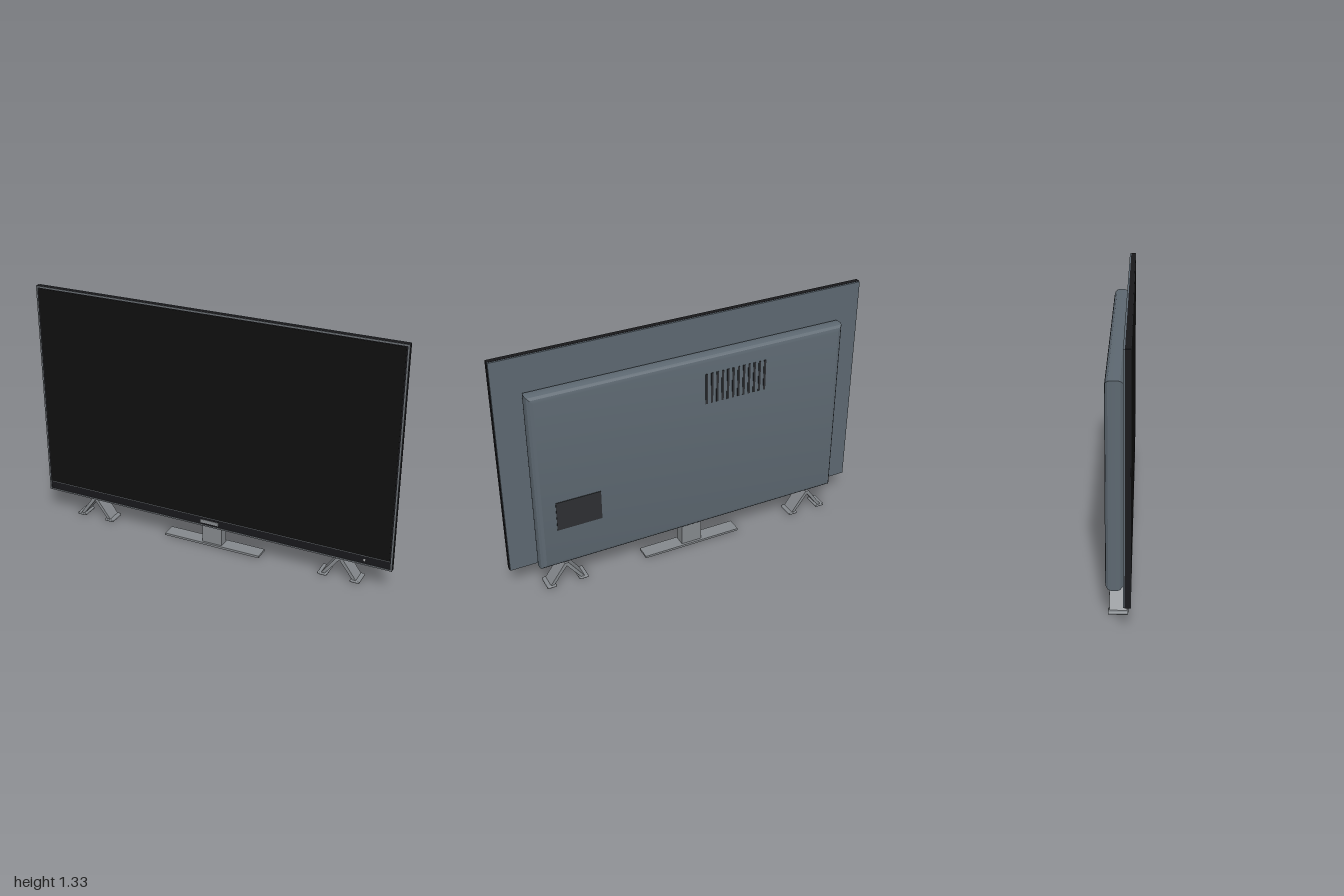
import * as THREE from 'three';
import { RoundedBoxGeometry } from 'three/addons/geometries/RoundedBoxGeometry.js';
import { toCreasedNormals } from 'three/addons/utils/BufferGeometryUtils.js';

const paint = (color) => new THREE.MeshStandardMaterial({ color });
const black = paint(0x0f0f0f);
const bezelBlack = paint(0x18181b);
const shell = paint(0x5d6871);
const metal = paint(0x85898d);
const dark = paint(0x2d2f32);
const trim = paint(0x6a6f74);

export function createModel() {
  const model = new THREE.Group();

  const add = (name, geometry, material, parent = model) => {
    const mesh = new THREE.Mesh(geometry, material);
    mesh.name = name;
    parent.add(mesh);
    return mesh;
  };
  // Box given by its limits on each axis
  const box = (name, material, [x0, x1], [y0, y1], [z0, z1], parent) => {
    const mesh = add(name, new THREE.BoxGeometry(x1 - x0, y1 - y0, z1 - z0), material, parent);
    mesh.position.set((x0 + x1) / 2, (y0 + y1) / 2, (z0 + z1) / 2);
    return mesh;
  };
  const rectangle = (Type, x, y0, y1) => new Type([
    new THREE.Vector2(-x, y0), new THREE.Vector2(x, y0),
    new THREE.Vector2(x, y1), new THREE.Vector2(-x, y1),
  ]);

  // Flat panel: black body, back sheet, thin front trim and display
  box('panelBody', bezelBlack, [-1, 1], [0.13, 1.325], [0.035, 0.06]);
  box('backSheet', shell, [-0.998, 0.998], [0.131, 1.324], [0.027, 0.035]);
  const frame = rectangle(THREE.Shape, 1, 0.13, 1.325);
  frame.holes.push(rectangle(THREE.Path, 0.992, 0.138, 1.317));
  add('frontTrim', new THREE.ExtrudeGeometry(frame, { depth: 0.002, bevelEnabled: false }), trim)
    .position.z = 0.06;
  box('display', black, [-0.985, 0.985], [0.185, 1.312], [0.058, 0.0615]);

  // Chin details
  box('chinLine', trim, [-0.985, 0.985], [0.181, 0.184], [0.058, 0.0615]);
  box('chinPlate', metal, [-0.053, 0.05], [0.149, 0.168], [0.058, 0.063]);
  box('indicatorLight', paint(0xcccccc), [0.853, 0.861], [0.153, 0.165], [0.058, 0.062]);

  // Rear housing with rounded edges and mitred corners
  const housing = new THREE.ExtrudeGeometry(rectangle(THREE.Shape, 0.83, 0.17, 1.115), {
    depth: 0.027, bevelThickness: 0.029, bevelSize: 0.03, bevelSegments: 3,
  });
  add('rearHousing', toCreasedNormals(housing, 0.3), shell).position.z = -0.029;

  // Ventilation slats and connector cover on the back
  const vents = new THREE.Group();
  vents.name = 'ventSlats';
  model.add(vents);
  for (let i = 0; i < 12; i++) {
    const x = -0.398 + i * 0.03;
    box('ventSlat', dark, [x - 0.006, x + 0.006], [0.88, 1.05], [-0.061, -0.055], vents);
  }
  box('connectorCover', dark, [0.52, 0.76], [0.365, 0.53], [-0.061, -0.055]);

  // Central stand
  box('standNeck', metal, [-0.058, 0.056], [0.012, 0.135], [-0.025, 0.03]);
  box('standBase', metal, [-0.28, 0.276], [0.002, 0.014], [-0.038, 0.042]);

  // Splayed side legs, each an inverted V on two pads
  const chevron = new THREE.Shape([
    [-0.096, 0.01], [-0.076, 0.01], [0, 0.112], [0.076, 0.01], [0.096, 0.01],
    [0.01, 0.13], [-0.01, 0.13],
  ].map(([x, y]) => new THREE.Vector2(x, y)));
  const legGeometry = new THREE.ExtrudeGeometry(chevron, { depth: 0.082, bevelEnabled: false });
  for (const side of [1, -1]) {
    const leg = new THREE.Group();
    leg.name = side > 0 ? 'leftLeg' : 'rightLeg';
    leg.position.x = side * 0.72;
    model.add(leg);
    add('legBrace', legGeometry, metal, leg).position.z = -0.04;
    for (const end of [1, -1]) {
      add('footPad', new RoundedBoxGeometry(0.052, 0.014, 0.094, 1, 0.005), metal, leg)
        .position.set(end * 0.088, 0.007, 0.001);
    }
  }
  return model;
}
